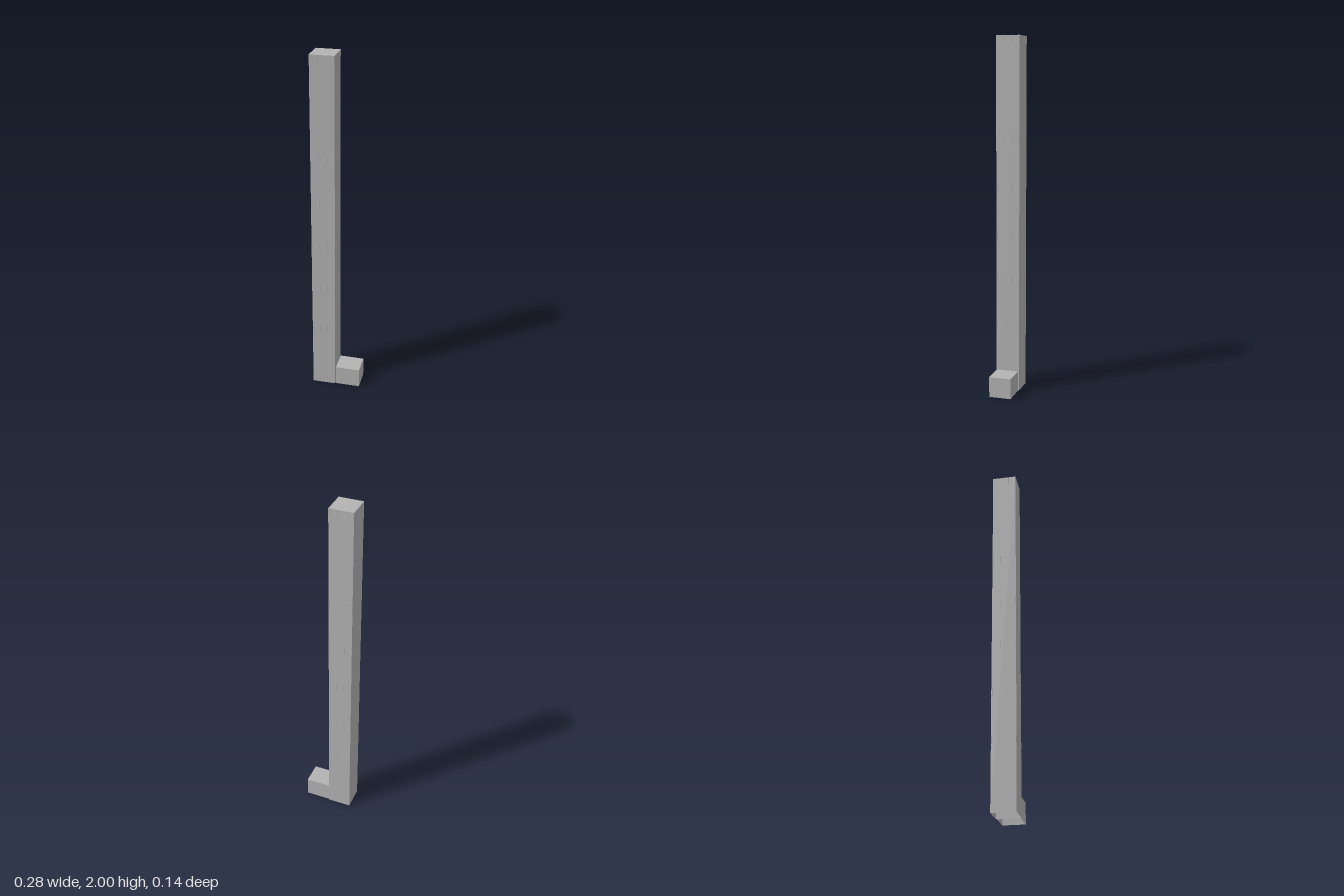
import * as THREE from 'three';

const grey = new THREE.MeshStandardMaterial({ color: 0xb3b3b3, side: THREE.DoubleSide });
grey.name = 'plain grey';

// Box standing on y = 0, open underneath
function openBox(name, w, h, d, x) {
  const geo = new THREE.BoxGeometry(w, h, d);
  const index = Array.from(geo.index.array);
  index.splice(18, 6); // drop the bottom face
  geo.setIndex(index);
  geo.clearGroups();
  geo.translate(x, h / 2, 0);
  const mesh = new THREE.Mesh(geo, grey);
  mesh.name = name;
  return mesh;
}

export function createModel() {
  const group = new THREE.Group();
  group.name = 'towerBlock';
  const cx = -0.072;

  // Tall shaft and the low annex beside it
  group.add(openBox('tower', 0.134, 2, 0.134, cx));
  group.add(openBox('annex', 0.141, 0.115, 0.125, 0.0695));

  // Short rods half sunk in the walls: four along each side, in six rows
  const rods = new THREE.Group();
  rods.name = 'wallRods';
  const rodGeo = new THREE.CylinderGeometry(0.004, 0.004, 0.044, 12);
  const r = 0.064;
  const rows = [0.378, 0.645, 0.911, 1.178, 1.445, 1.978];
  for (const y of rows) {
    for (let i = 0; i < 4; i++) {
      for (let k = 0; k < 4; k++) {
        if (i % 3 !== 0 && k % 3 !== 0) continue; // perimeter only
        const rod = new THREE.Mesh(rodGeo, grey);
        rod.name = 'wallRod';
        rod.position.set(cx + r * (i * 2 / 3 - 1), y, r * (k * 2 / 3 - 1));
        rods.add(rod);
      }
    }
  }
  group.add(rods);
  return group;
}
